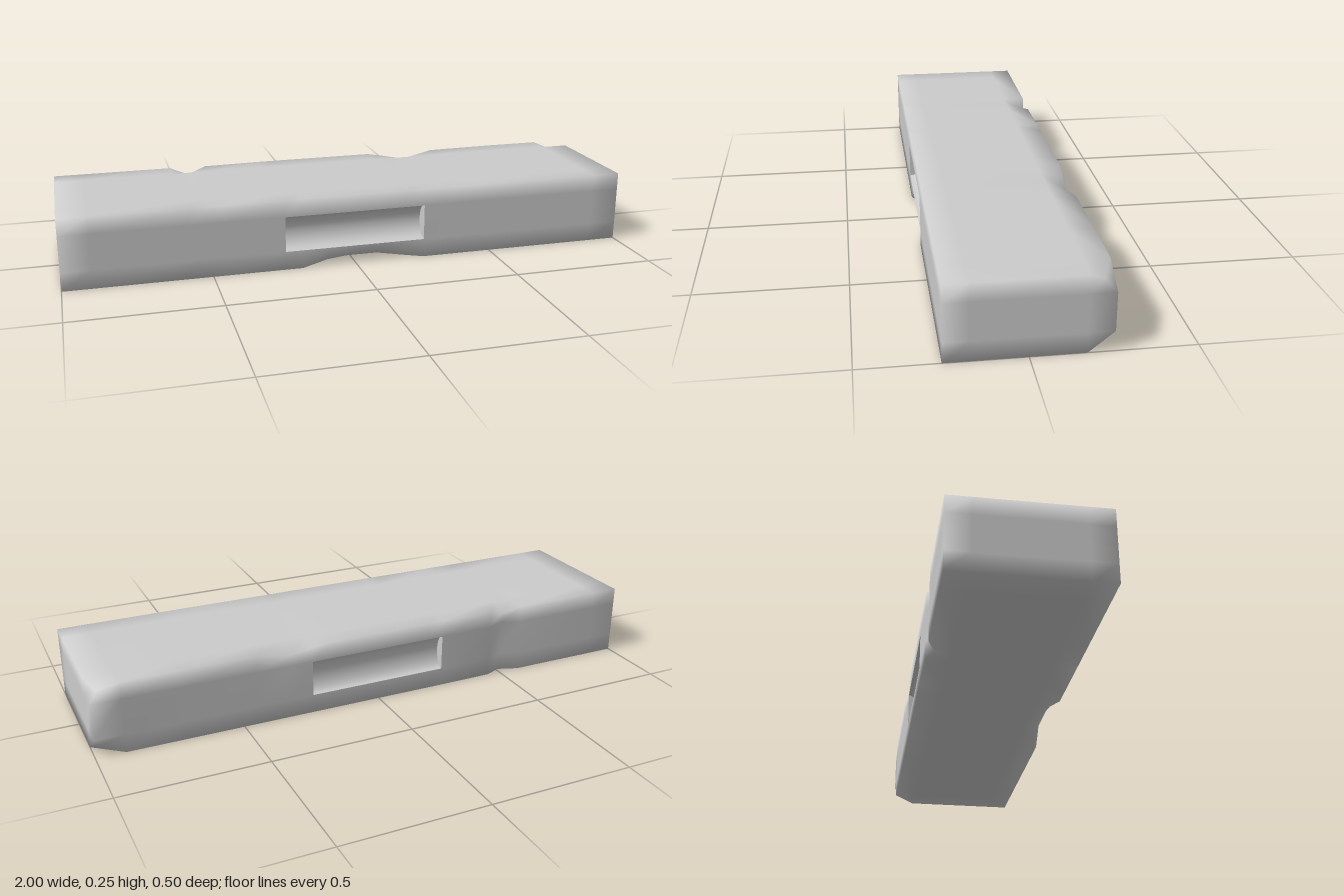
import * as THREE from 'three';
import { mergeVertices } from 'three/addons/utils/BufferGeometryUtils.js';

const SLOT = { x: 0.25, y0: 0.065, y1: 0.19 };
// Grid lines of the block: narrow bands at the rims carry the soft shading
const XS = [-1, -0.9, -0.58, -0.51, -0.45, -0.25, -0.19, -0.1, 0, 0.1, 0.19, 0.25, 0.33, 0.45, 0.7, 0.9, 1];
const YS = [0, SLOT.y0, SLOT.y1, 0.25];
const ZS = [-0.25, -0.17, 0.17, 0.25];

const bump = (x, centre, width) => Math.max(0, 1 - Math.abs(x - centre) / width);

// Chips and dents along the rims
function wear(p) {
  const { x, y, z } = p;
  const top = y > 0.24, bottom = y < 0.01, back = z < -0.24, front = z > 0.24;
  if (back) p.z += 0.025 * bump(x, -0.51, 0.065);
  if (back && top) {
    p.y -= 0.025 * bump(x, -0.51, 0.065) + 0.025 * bump(x, 0.33, 0.13);
    p.z += 0.012 * bump(x, 0.33, 0.13);
  }
  if (front && bottom) {
    const d = Math.min(1, 1.6 * bump(x, 0.02, 0.21));
    p.y += 0.025 * d;
    p.z -= 0.025 * d;
  }
  // Knocked-off rear corners at one end
  if (back && x > 0.99 && (top || bottom)) {
    p.x -= 0.03;
    p.z += 0.03;
    p.y += top ? -0.03 : 0.03;
  }
}

function blockGeometry() {
  const nx = XS.length - 1, ny = YS.length - 1, nz = ZS.length - 1;
  let geo = new THREE.BoxGeometry(nx, ny, nz, nx, ny, nz);
  geo.deleteAttribute('normal');
  geo.deleteAttribute('uv');
  const pos = geo.attributes.position;
  const p = new THREE.Vector3();
  for (let i = 0; i < pos.count; i++) {
    p.set(
      XS[Math.round(pos.getX(i) + nx / 2)],
      YS[Math.round(pos.getY(i) + ny / 2)],
      ZS[Math.round(pos.getZ(i) + nz / 2)]
    );
    wear(p);
    pos.setXYZ(i, p.x, p.y, p.z);
  }
  geo = mergeVertices(geo, 1e-4);
  geo.computeVertexNormals();
  // Leave the slot openings in the front and back faces free
  const q = geo.attributes.position, index = geo.index.array, kept = [];
  for (let i = 0; i < index.length; i += 3) {
    const tri = [index[i], index[i + 1], index[i + 2]];
    const inSlot = tri.every((v) =>
      Math.abs(q.getX(v)) < SLOT.x + 0.001 && Math.abs(q.getZ(v)) > 0.24 &&
      q.getY(v) > SLOT.y0 - 0.001 && q.getY(v) < SLOT.y1 + 0.001);
    if (!inSlot) kept.push(...tri);
  }
  geo.setIndex(kept);
  return geo;
}

// Hollow trough with a curved floor and flat end walls
function slot(name, depth, material) {
  const group = new THREE.Group();
  group.name = name;
  const half = (SLOT.y1 - SLOT.y0) / 2;
  const floorGeo = new THREE.PlaneGeometry(2 * SLOT.x, 2 * half, 1, 16);
  const pos = floorGeo.attributes.position;
  for (let i = 0; i < pos.count; i++) {
    const a = (pos.getY(i) / half) * Math.PI / 2;
    pos.setY(i, half * Math.sin(a));
    pos.setZ(i, -depth * Math.cos(a));
  }
  floorGeo.computeVertexNormals();
  const floor = new THREE.Mesh(floorGeo, material);
  floor.name = 'slotFloor';
  group.add(floor);

  const endShape = new THREE.Shape();
  endShape.absellipse(0, 0, depth, half, Math.PI / 2, Math.PI * 1.5, false);
  for (const side of [-1, 1]) {
    const end = new THREE.Mesh(new THREE.ShapeGeometry(endShape, 10), material);
    end.name = 'slotEnd';
    end.rotation.y = -Math.PI / 2;
    end.position.x = side * SLOT.x;
    group.add(end);
  }
  group.position.set(0, (SLOT.y0 + SLOT.y1) / 2, 0.25);
  return group;
}

export function createModel() {
  const model = new THREE.Group();
  model.name = 'wornBlock';
  const grey = new THREE.MeshStandardMaterial({ color: 0xcccccc });
  const inner = new THREE.MeshStandardMaterial({ color: 0xcccccc, side: THREE.DoubleSide });

  const block = new THREE.Mesh(blockGeometry(), grey);
  block.name = 'block';
  model.add(block);

  model.add(slot('frontSlot', 0.05, inner));
  const backSlot = slot('backSlot', 0.035, inner);
  backSlot.rotation.y = Math.PI;
  backSlot.position.z = -0.25;
  model.add(backSlot);
  return model;
}
